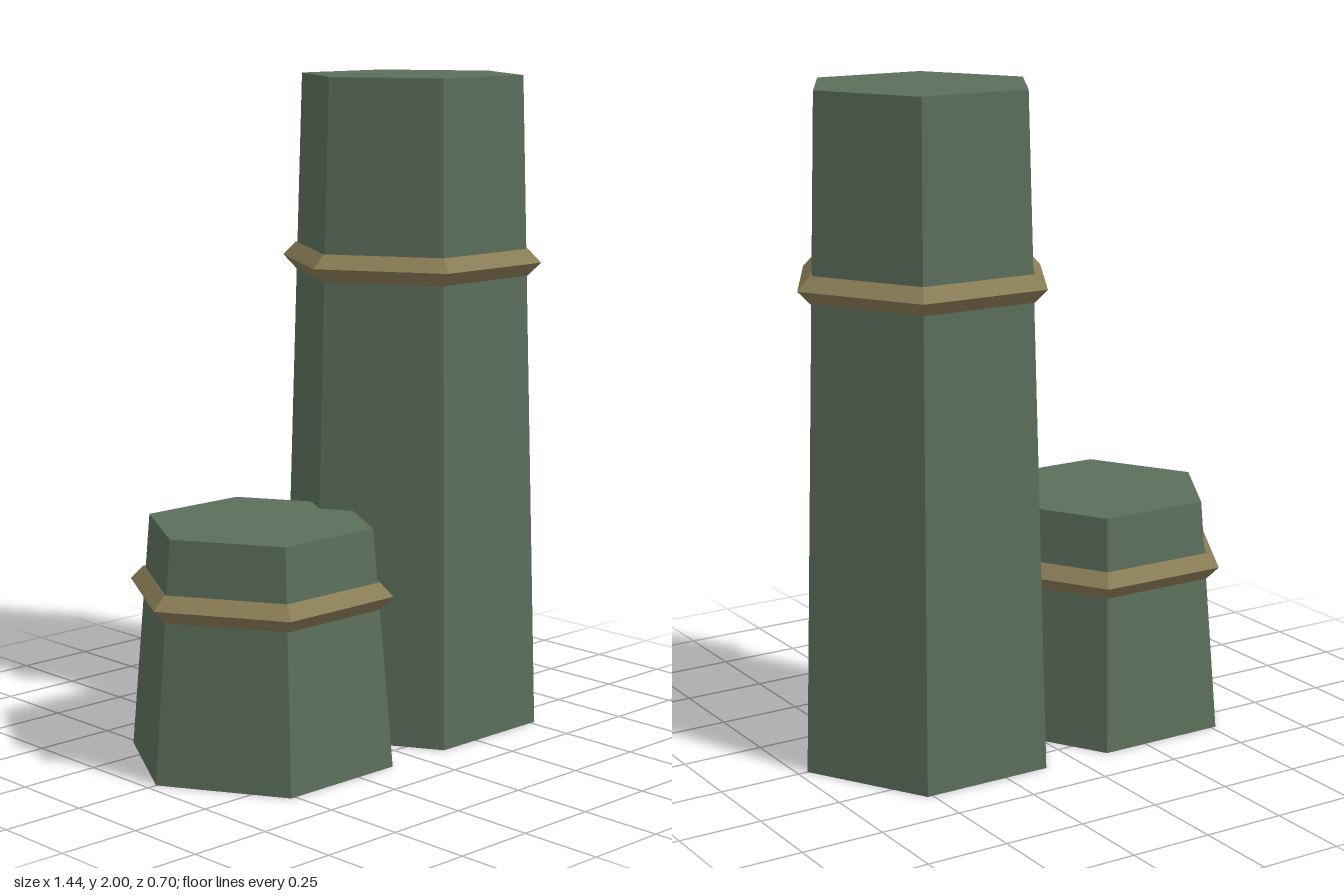
import * as THREE from 'three';

const SIDES = 6;

export function createModel() {
  const green = new THREE.MeshStandardMaterial({ color: 0x5b6e5b, flatShading: true });
  green.name = 'mossGreen';
  const bronze = new THREE.MeshStandardMaterial({ color: 0x8a7d56, flatShading: true });
  bronze.name = 'agedBronze';

  // tapered hexagonal column with a faceted band at 72% of its height
  function column(name, x, height) {
    const group = new THREE.Group();
    group.name = name;
    group.position.x = x;

    const shaft = new THREE.Mesh(
      new THREE.CylinderGeometry(0.345, 0.407, height, SIDES).rotateY(Math.PI / 2), green);
    shaft.name = name + 'Shaft';
    shaft.position.y = height / 2;

    const band = new THREE.Mesh(
      new THREE.TorusGeometry(0.366, 0.041, 4, SIDES).rotateX(Math.PI / 2), bronze);
    band.name = name + 'Band';
    band.position.y = height * 0.72;

    group.add(shaft, band);
    return group;
  }

  const model = new THREE.Group();
  model.name = 'hexColumns';
  model.add(column('tallColumn', 0.313, 2), column('shortColumn', -0.313, 0.715));
  return model;
}
